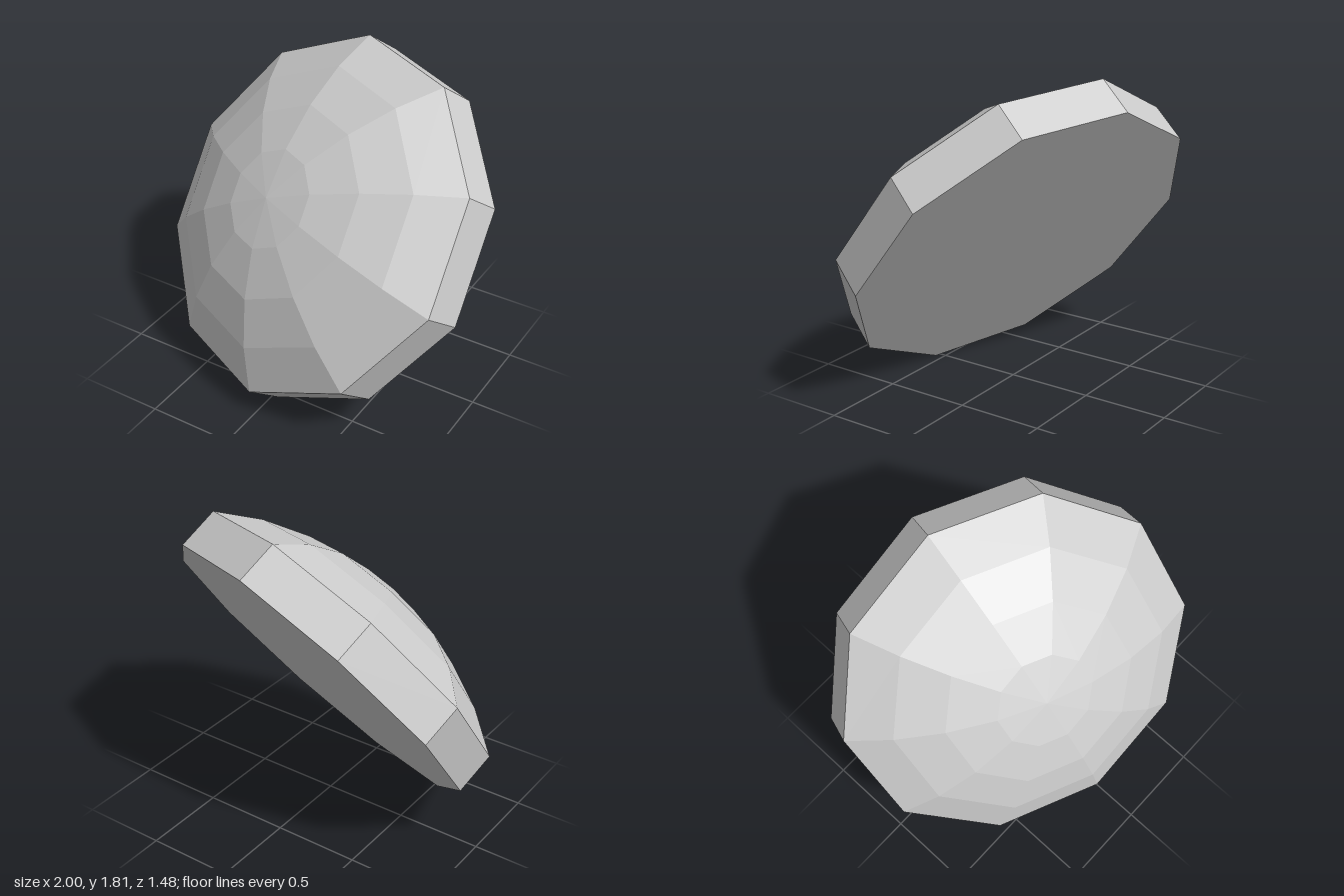
import * as THREE from 'three';

const SIDES = 10;
const RADIUS = 1.053;     // rim radius
const THICK = 0.247;      // thickness of the base slab
const CAP_ANGLE = THREE.MathUtils.degToRad(38.8);
const RINGS = 4;

// Give every face its own normal for the faceted look
function faceted(geometry) {
  const flat = geometry.toNonIndexed();
  flat.computeVertexNormals();
  return flat;
}

export function createModel() {
  const grey = new THREE.MeshStandardMaterial({ color: 0xcccccc });
  grey.name = 'light grey';

  const model = new THREE.Group();
  model.name = 'facetedDome';

  // Base slab: ten-sided, closed at the back
  const slab = new THREE.Mesh(
    faceted(new THREE.CylinderGeometry(RADIUS, RADIUS, THICK, SIDES)), grey);
  slab.name = 'baseSlab';

  // Dome: shallow spherical cap in equal angular steps, rim to apex
  const sphereR = RADIUS / Math.sin(CAP_ANGLE);
  const profile = [];
  for (let i = 0; i <= RINGS; i++) {
    const a = CAP_ANGLE * (1 - i / RINGS);
    profile.push(new THREE.Vector2(
      sphereR * Math.sin(a),
      THICK / 2 + sphereR * (Math.cos(a) - Math.cos(CAP_ANGLE))));
  }
  const dome = new THREE.Mesh(
    faceted(new THREE.LatheGeometry(profile, SIDES)), grey);
  dome.name = 'dome';

  // Tilt: the axis leans up, forward and slightly to the right; one corner sits low at the front
  const axis = new THREE.Vector3(-0.26, 0.589, 0.766).normalize();
  const corner = new THREE.Vector3(0.6, -0.577, 0.647);
  corner.addScaledVector(axis, -corner.dot(axis)).normalize();
  const side = new THREE.Vector3().crossVectors(axis, corner);
  const tilted = new THREE.Group();
  tilted.name = 'tiltedBody';
  tilted.quaternion.setFromRotationMatrix(
    new THREE.Matrix4().makeBasis(side, axis, corner));
  tilted.position.set(0, 0.908, 0);
  tilted.add(slab, dome);

  model.add(tilted);
  return model;
}
